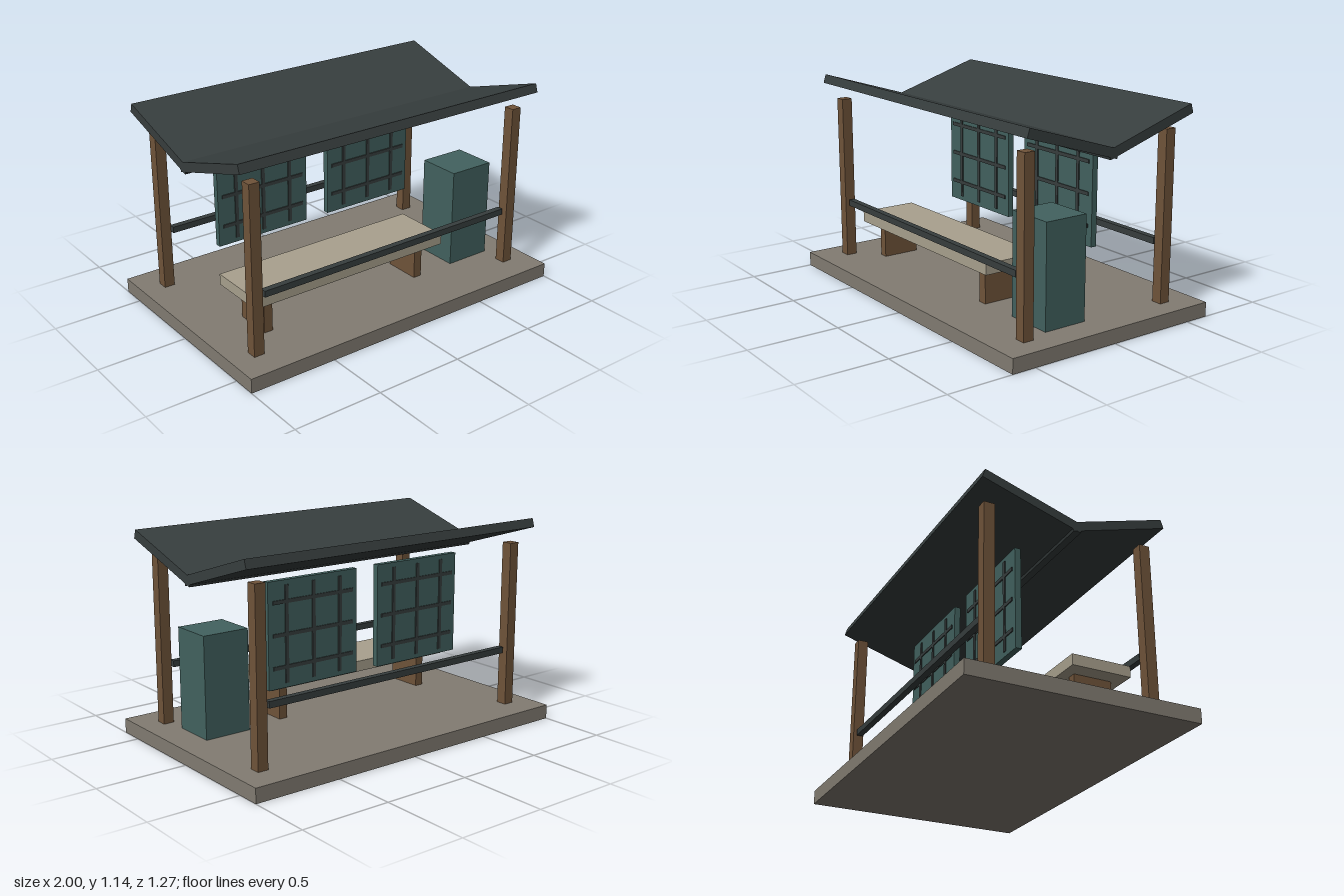
import * as THREE from 'three';

const mat = (color) => new THREE.MeshStandardMaterial({ color });

export function createModel() {
  const model = new THREE.Group();
  model.name = 'shelter';

  const stone = mat(0x827c72);
  const wood = mat(0x70543a);
  const pale = mat(0xa9a18e);
  const teal = mat(0x42625f);
  const dark = mat(0x373e3e);

  // Box given by its size and centre
  function box(name, material, size, centre, parent = model) {
    const mesh = new THREE.Mesh(new THREE.BoxGeometry(...size), material);
    mesh.name = name;
    mesh.position.set(...centre);
    parent.add(mesh);
    return mesh;
  }

  // Ground slab
  box('base', stone, [2, 0.08, 1.27], [0, 0.04, 0]);

  // Posts, rails and the two roof slabs meeting in a valley
  for (const side of [1, -1]) {
    const end = side > 0 ? 'front' : 'back';
    for (const x of [-0.85, 0.85]) {
      box(end + (x > 0 ? 'Left' : 'Right') + 'Post', wood, [0.06, 0.93, 0.06], [x, 0.545, side * 0.45]);
    }
    box(end + 'Rail', dark, [1.6, 0.035, 0.035], [0, 0.402, side * 0.45]);
    const slab = box(end + 'Roof', dark, [1.91, 0.05, 0.57], [0, 1.033, side * 0.245]);
    slab.rotation.x = -side * 0.3;
  }

  // Hanging lattice screens
  for (const x of [-0.385, 0.33]) {
    const screen = new THREE.Group();
    screen.name = x > 0 ? 'leftScreen' : 'rightScreen';
    screen.position.set(x, 0.652, -0.183);
    model.add(screen);
    box('panel', teal, [0.57, 0.566, 0.034], [0, 0, 0], screen);
    for (const i of [-1, 0, 1]) {
      box('verticalBar', dark, [0.02, 0.515, 0.045], [i * 0.171, 0, 0], screen);
      box('horizontalBar', dark, [0.515, 0.02, 0.045], [0, i * 0.172, 0], screen);
    }
  }

  // Bench
  const bench = new THREE.Group();
  bench.name = 'bench';
  model.add(bench);
  box('seat', pale, [1.23, 0.06, 0.333], [-0.185, 0.304, 0.208], bench);
  for (const x of [-0.685, 0.315]) {
    box('benchLeg', wood, [0.05, 0.195, 0.213], [x, 0.1775, 0.208], bench);
  }

  // Cabinet at the end of the bench
  box('cabinet', teal, [0.27, 0.56, 0.25], [0.7, 0.36, 0.185]);

  return model;
}
